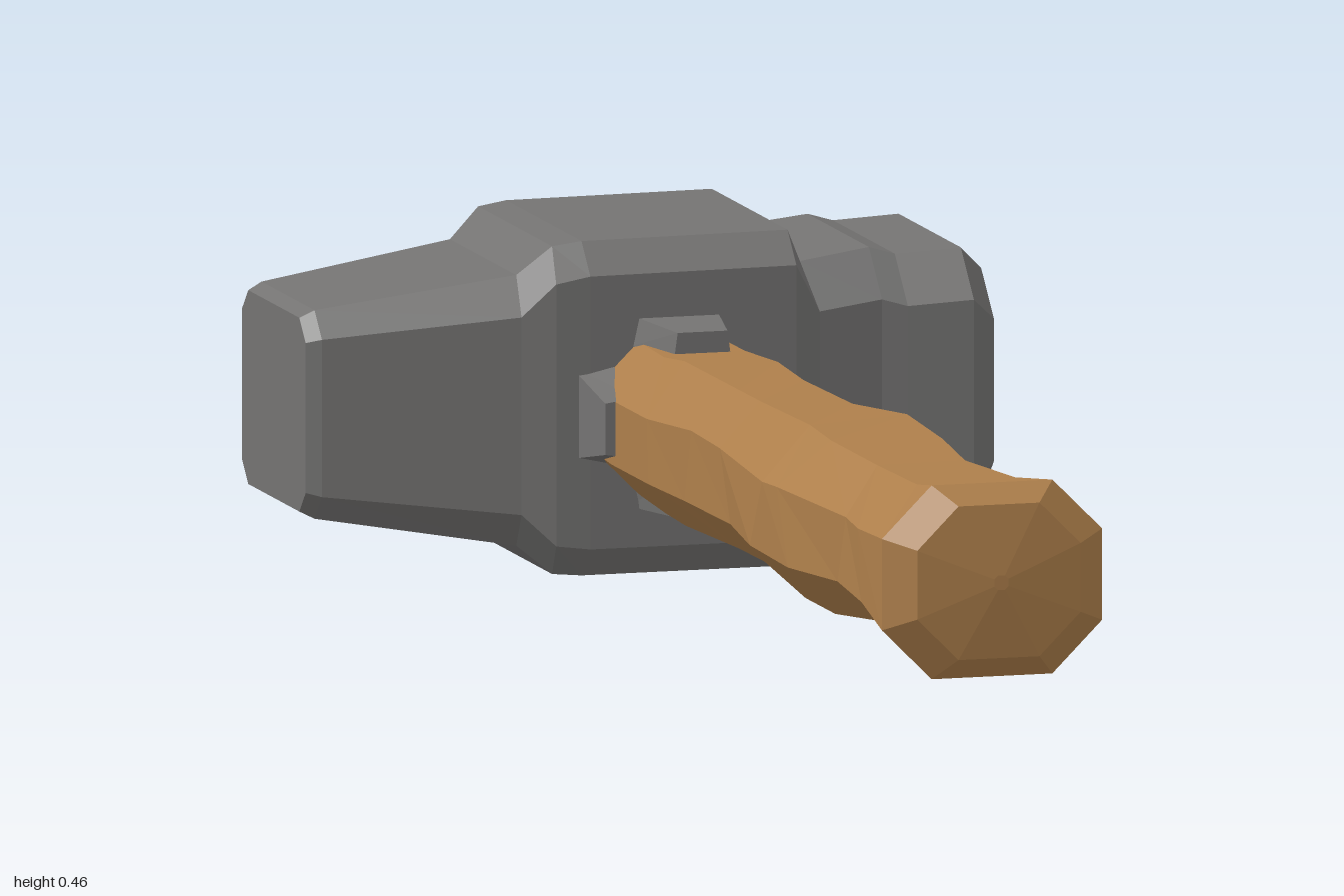
import * as THREE from 'three';

const steel = new THREE.MeshStandardMaterial({ color: 0x747372, flatShading: true });
steel.name = 'steel grey';
const wood = new THREE.MeshStandardMaterial({ color: 0xae7f4b, flatShading: true });
wood.name = 'handle wood';

// Chamfered rectangle, counter-clockwise in (u, v)
function octagon(u0, u1, v0, v1, cu, cv) {
  return [
    [u1, v0 + cv], [u1, v1 - cv], [u1 - cu, v1], [u0 + cu, v1],
    [u0, v1 - cv], [u0, v0 + cv], [u0 + cu, v0], [u1 - cu, v0],
  ];
}

// Skin a list of equal-length rings of Vector3 and close both ends
function loft(rings) {
  const out = [];
  const tri = (...pts) => pts.forEach((p) => out.push(p.x, p.y, p.z));
  const n = rings[0].length;
  for (let k = 0; k < rings.length - 1; k++) {
    for (let i = 0; i < n; i++) {
      const j = (i + 1) % n;
      const a = rings[k][i], b = rings[k][j], c = rings[k + 1][j], d = rings[k + 1][i];
      tri(a, b, c);
      tri(a, c, d);
    }
  }
  const first = rings[0], last = rings[rings.length - 1];
  for (let i = 1; i < n - 1; i++) {
    tri(first[0], first[i + 1], first[i]);
    tri(last[0], last[i], last[i + 1]);
  }
  const geo = new THREE.BufferGeometry();
  geo.setAttribute('position', new THREE.Float32BufferAttribute(out, 3));
  geo.computeVertexNormals();
  return geo;
}

function addMesh(group, name, geo, material) {
  const mesh = new THREE.Mesh(geo, material);
  mesh.name = name;
  group.add(mesh);
  return mesh;
}

// Hammer head: sections along x as [x, yLow, yHigh, zBack, zFront, chamfer, corner shift]
function headGeometry() {
  const sections = [
    [-0.48, 0.10, 0.365, -0.87, -0.57, 0.03, 0],
    [-0.46, 0.09, 0.375, -0.88, -0.56, 0.035, 0],
    [-0.20, 0.045, 0.415, -0.927, -0.515, 0.05, 0.015],
    [-0.155, 0.007, 0.455, -0.94, -0.502, 0.045, 0.015],
    [-0.10, 0.004, 0.461, -0.94, -0.50, 0.042, 0],
    [0.19, 0.004, 0.463, -0.94, -0.50, 0.042, 0],
    [0.235, 0.045, 0.415, -0.935, -0.507, 0.06, -0.02],
    [0.315, 0.04, 0.428, -0.928, -0.515, 0.062, 0],
    [0.35, 0.046, 0.418, -0.925, -0.51, 0.062, 0],
    [0.44, 0.045, 0.424, -0.917, -0.50, 0.062, 0],
    [0.477, 0.075, 0.39, -0.89, -0.53, 0.06, 0],
  ];
  return loft(sections.map(([x, y0, y1, z0, z1, c, shift]) =>
    octagon(y0, y1, z0, z1, c, c).map(([y, z], i) =>
      new THREE.Vector3(x + (i % 4 < 2 ? shift : shift * 0.5), y, z))));
}

// Wooden shaft: sections along z as [z, xLow, xHigh, yLow, yHigh, chamfer]
function shaftGeometry() {
  const sections = [
    [-0.60, -0.09, 0.14, 0.122, 0.328, 0.06],
    [-0.40, -0.097, 0.147, 0.114, 0.326, 0.062],
    [-0.25, -0.10, 0.155, 0.11, 0.334, 0.068],
    [-0.06, -0.09, 0.133, 0.118, 0.335, 0.058],
    [0.10, -0.093, 0.14, 0.12, 0.336, 0.06],
    [0.33, -0.115, 0.18, 0.106, 0.346, 0.072],
    [0.45, -0.112, 0.168, 0.108, 0.342, 0.066],
    [0.65, -0.095, 0.15, 0.122, 0.336, 0.06],
    [0.82, -0.11, 0.166, 0.114, 0.344, 0.066],
    [0.955, -0.125, 0.185, 0.095, 0.36, 0.07],
    [0.988, -0.085, 0.145, 0.125, 0.335, 0.058],
    [1.0, 0.02, 0.04, 0.22, 0.24, 0.005],
  ];
  return loft(sections.map(([z, x0, x1, y0, y1, c], k) => {
    const carved = k > 0 && k < 9 ? 1 : 0;
    return octagon(x0, x1, y0, y1, c, c).map(([x, y], i) => {
      // Slide each corner along the shaft for an uneven, hand-cut look
      const slide = carved * 0.035 * Math.sin(k * 2.7 + i * 1.9);
      return new THREE.Vector3(x, y, z + slide);
    });
  }));
}

// End of the shaft showing behind the head
function shaftTipGeometry() {
  const rings = [-0.88, -1.0].map((z) =>
    octagon(-0.11, 0.16, 0.105, 0.37, 0.07, 0.07).map(([x, y]) => new THREE.Vector3(x, y, z)));
  return loft(rings.reverse());
}

// Tapered tongue holding the shaft; its thickness is along local y
function tongueGeometry() {
  const geo = new THREE.BoxGeometry(0.15, 0.05, 0.15);
  const p = geo.attributes.position;
  for (let i = 0; i < p.count; i++) {
    if (p.getZ(i) > 0) {
      p.setX(i, p.getX(i) * 0.55);
      if (p.getY(i) > 0) p.setY(i, 0.02);
    }
    if (p.getY(i) > 0) p.setX(i, p.getX(i) * 0.85);
  }
  geo.computeVertexNormals();
  return geo;
}

export function createModel() {
  const model = new THREE.Group();
  model.name = 'sledgehammer';

  addMesh(model, 'hammerHead', headGeometry(), steel);
  addMesh(model, 'shaft', shaftGeometry(), wood);
  addMesh(model, 'shaftTip', shaftTipGeometry(), wood);

  // One tongue on each side of the shaft
  const tongue = tongueGeometry();
  const places = [
    ['topTongue', 0.025, 0.335, 0],
    ['leftTongue', 0.142, 0.228, -Math.PI / 2],
    ['bottomTongue', 0.025, 0.122, Math.PI],
    ['rightTongue', -0.092, 0.228, Math.PI / 2],
  ];
  for (const [name, x, y, turn] of places) {
    const mesh = addMesh(model, name, tongue, steel);
    mesh.position.set(x, y, -0.465);
    mesh.rotation.z = turn;
  }
  return model;
}
